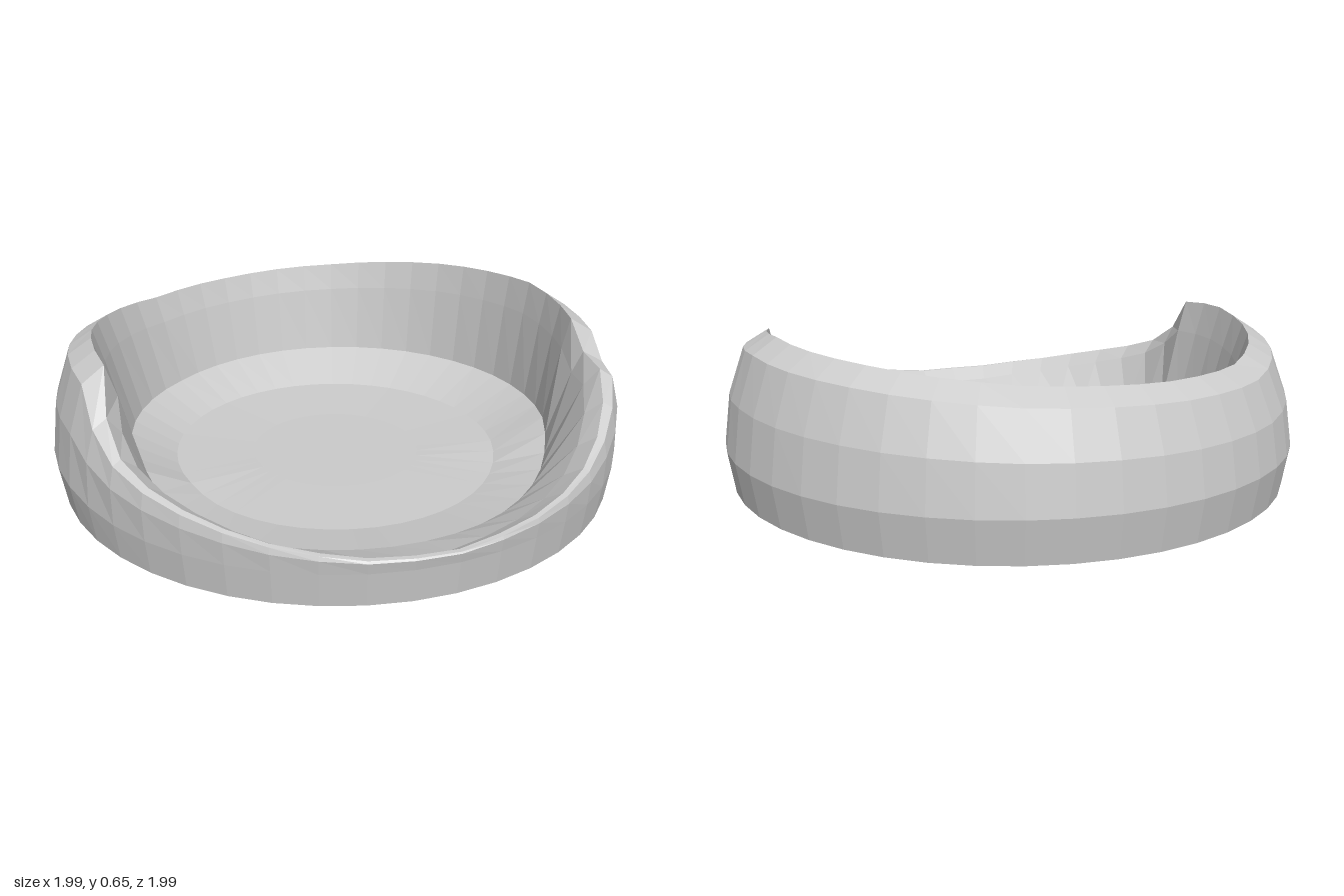
import * as THREE from 'three';

const SEGMENTS = 45;

// Rim by angle (degrees, 0 = +x, 90 = +z): [angle, rim height, bolster fullness]
const RIM = [
  [-45, 0.635, 1], [-37, 0.625, 1], [-29, 0.545, 0.8], [-20, 0.53, 0.4], [-10, 0.44, 0.2],
  [0, 0.36, 0.1], [15, 0.305, 0], [35, 0.262, 0], [50, 0.268, 0], [66, 0.305, 0],
  [78, 0.345, 0.02], [90, 0.39, 0.1], [103, 0.46, 0.3], [110, 0.56, 0.7], [115, 0.64, 0.95],
  [128, 0.655, 1], [150, 0.62, 1], [180, 0.57, 1], [205, 0.575, 1], [235, 0.595, 1],
  [252, 0.615, 1], [270, 0.635, 1], [300, 0.655, 1], [315, 0.635, 1],
];

function rimAt(deg) {
  let i = 0;
  while (i < RIM.length - 2 && deg > RIM[i + 1][0]) i++;
  const [a, b] = [RIM[i], RIM[i + 1]];
  const f = (deg - a[0]) / (b[0] - a[0]);
  return { h: THREE.MathUtils.lerp(a[1], b[1], f), full: THREE.MathUtils.lerp(a[2], b[2], f) };
}

// Cross-section [radius, height] from the cushion centre, over the bolster, to under the base
function section(deg) {
  const { h, full } = rimAt(deg);
  const mix = (open, closed) => THREE.MathUtils.lerp(open, closed, full);
  const up = (k) => 0.25 + (h - 0.25) * k;
  // The cushion reaches further under the bolster at the back
  const foot = 0.735 + 0.055 * Math.max(0, -Math.sin(THREE.MathUtils.degToRad(deg)));
  return [
    [0, 0.135], [0.3, 0.137], [0.58, mix(0.13, 0.15)],
    [mix(0.76, foot), mix(0.165, 0.24)],
    [mix(0.91, foot * 0.3 + 0.585), mix(h - 0.045, up(0.7))],
    [mix(0.975, 0.84), h],
    [mix(0.99, 0.92), up(mix(0.95, 0.87))],
    [mix(0.995, 0.975), up(mix(0.6, 0.46))],
    [mix(0.988, 0.998), mix(0.225, 0.255)],
    [0.975, 0.112], [0.8, 0.042], [0.4, 0.01], [0, 0],
  ];
}

// Skin the cross-sections between two profile points
function skin(name, from, to, material) {
  const positions = [];
  const point = (i, j) => {
    const deg = -45 + (360 * (j % SEGMENTS)) / SEGMENTS;
    const [r, y] = section(deg)[i];
    const a = THREE.MathUtils.degToRad(deg);
    return [r * Math.cos(a), y, r * Math.sin(a)];
  };
  const centre = 0, lastRing = 11;
  for (let i = from; i < to; i++) {
    for (let j = 0; j < SEGMENTS; j++) {
      const a = point(i, j), b = point(i, j + 1), c = point(i + 1, j), d = point(i + 1, j + 1);
      if (i !== centre) positions.push(...a, ...b, ...c);
      if (i !== lastRing) positions.push(...b, ...d, ...c);
    }
  }
  const geometry = new THREE.BufferGeometry();
  geometry.setAttribute('position', new THREE.Float32BufferAttribute(positions, 3));
  geometry.computeVertexNormals();
  const mesh = new THREE.Mesh(geometry, material);
  mesh.name = name;
  return mesh;
}

export function createModel() {
  const group = new THREE.Group();
  group.name = 'roundBed';
  const material = new THREE.MeshStandardMaterial({ color: 0xcccccc, flatShading: true });
  // Sunken cushion, padded wall with a low entrance, and shallow rounded base
  group.add(skin('cushion', 0, 3, material));
  group.add(skin('bolster', 3, 9, material));
  group.add(skin('base', 9, 12, material));
  return group;
}
